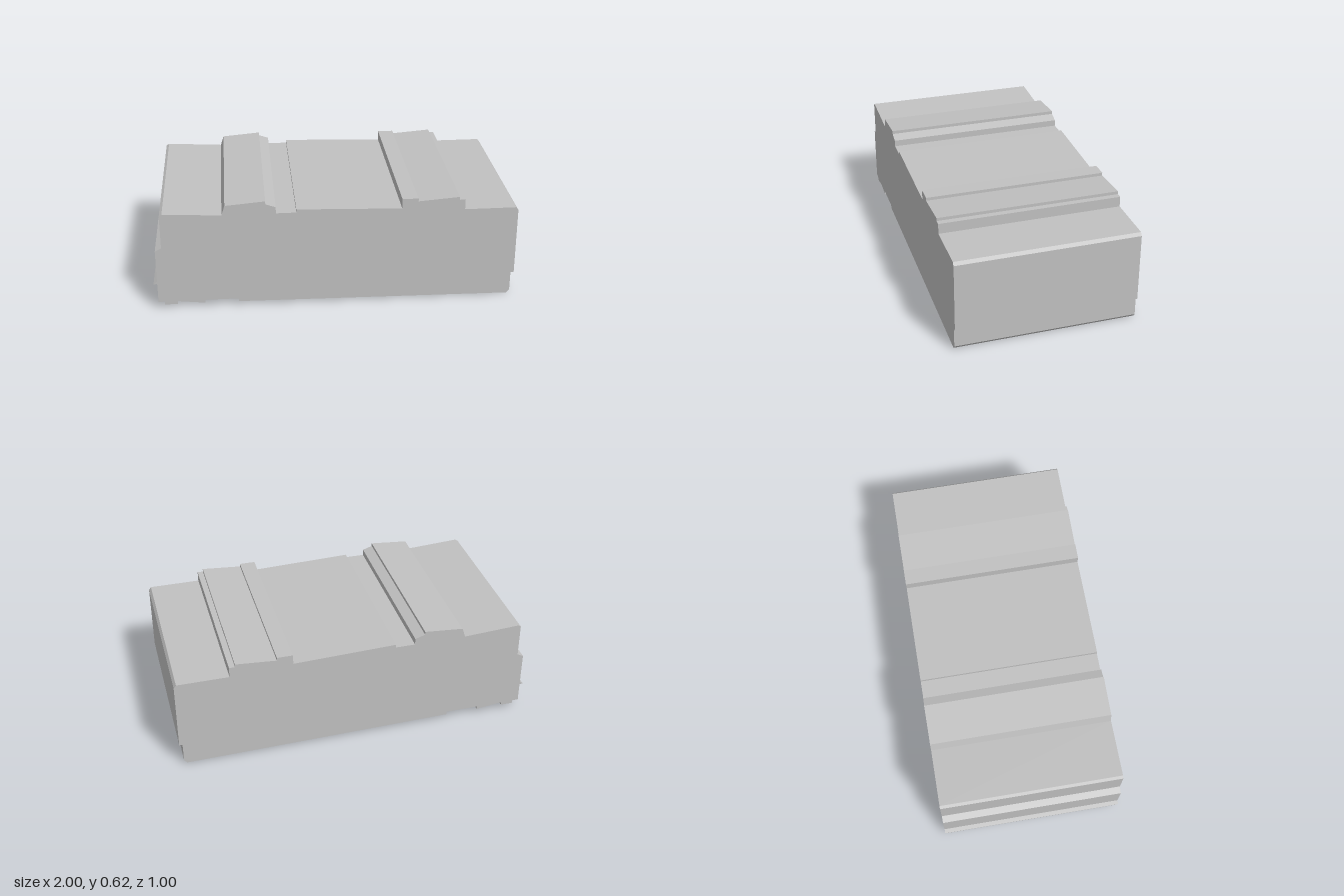
import * as THREE from 'three';

const DEPTH = 1;

// Outline seen from the front, clockwise from the lower left corner
const outline = [
  // left end with its small lip and shoulder
  [-0.98, 0.04], [-0.98, 0.152], [-1, 0.152], [-0.98, 0.168],
  [-0.98, 0.352], [-0.945, 0.37], [-0.945, 0.56], [-0.93, 0.57],
  // left raised ridge
  [-0.615, 0.552], [-0.597, 0.607], [-0.38, 0.625], [-0.38, 0.607],
  [-0.325, 0.588], [-0.325, 0.552],
  // middle deck
  [-0.215, 0.552], [-0.215, 0.57], [0.357, 0.552],
  // right raised ridge
  [0.357, 0.607], [0.445, 0.607], [0.445, 0.59], [0.67, 0.607],
  [0.67, 0.59], [0.702, 0.59], [0.702, 0.532],
  // right end with its undercut
  [0.985, 0.532], [0.998, 0.515], [1, 0.13], [0.982, 0.13],
  [0.982, 0.02], [0.965, 0],
  // sloping underside and foot steps
  [-0.54, 0.022], [-0.54, 0.04], [-0.725, 0.04], [-0.725, 0.022],
  [-0.875, 0.04], [-0.875, 0.022], [-0.945, 0.022], [-0.945, 0.04],
];

export function createModel() {
  const grey = new THREE.MeshStandardMaterial({ color: 0xc0c0c0 });
  grey.name = 'plain grey';

  const shape = new THREE.Shape(outline.map(([x, y]) => new THREE.Vector2(x, y)));
  const geometry = new THREE.ExtrudeGeometry(shape, { depth: DEPTH, bevelEnabled: false });
  geometry.translate(0, 0, -DEPTH / 2);

  const body = new THREE.Mesh(geometry, grey);
  body.name = 'steppedBlock';

  const model = new THREE.Group();
  model.name = 'steppedProfileBlock';
  model.add(body);
  return model;
}
